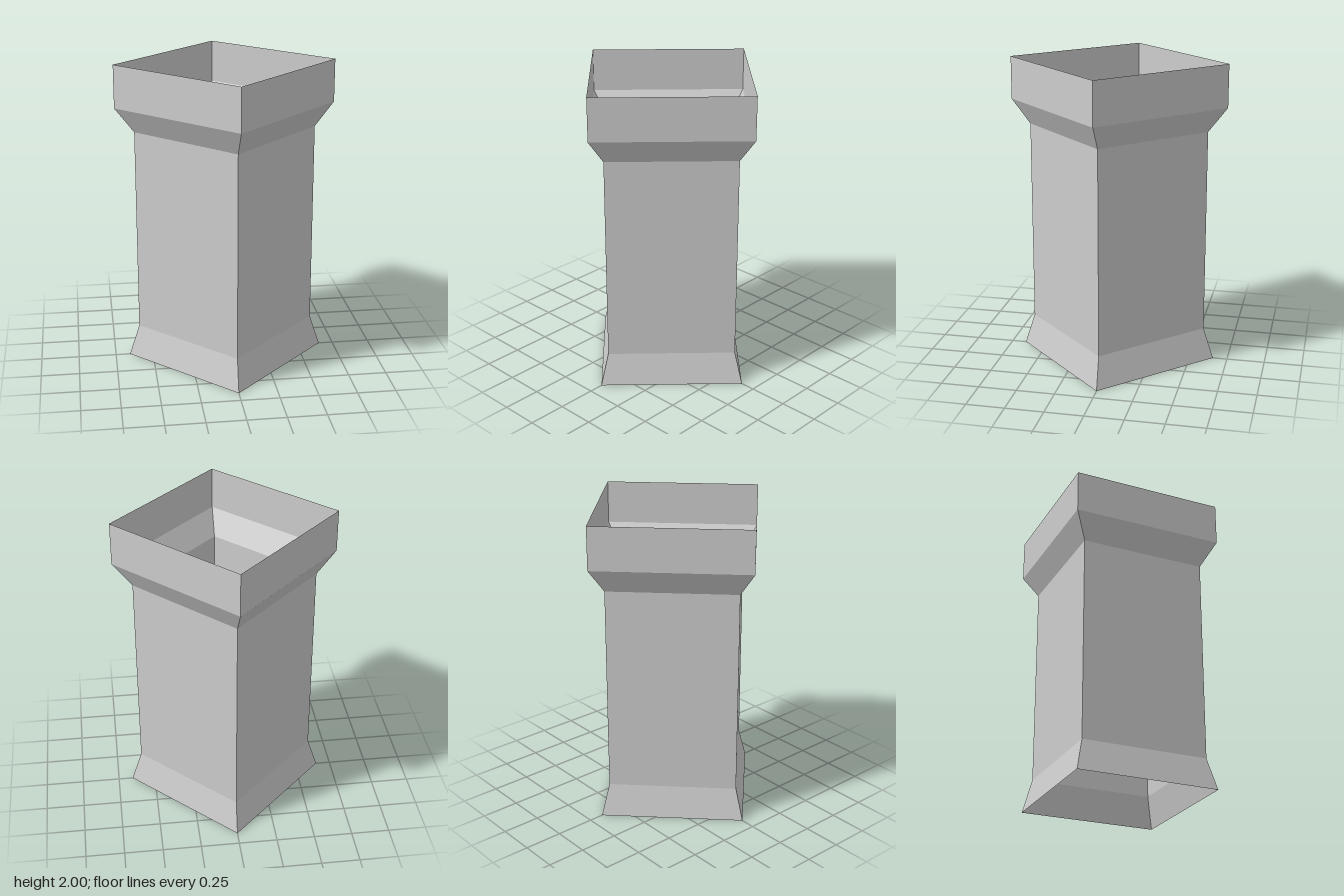
import * as THREE from 'three';

export function createModel() {
  const group = new THREE.Group();
  group.name = 'squarePillar';

  const stone = new THREE.MeshStandardMaterial({ color: 0xcccccc, flatShading: true, side: THREE.DoubleSide });
  stone.name = 'paleGreyStone';

  // Open four-sided bands with corners on the axes: name, bottom radius, bottom y, top radius, top y
  const bands = [
    ['flaredBase', 0.655, 0, 0.587, 0.21],
    ['shaft', 0.587, 0.21, 0.587, 1.56],
    ['capitalFlare', 0.587, 1.56, 0.71, 1.72],
    ['capitalRim', 0.71, 1.72, 0.71, 2],
  ];
  for (const [name, r0, y0, r1, y1] of bands) {
    const profile = [new THREE.Vector2(r0, y0), new THREE.Vector2(r1, y1)];
    const mesh = new THREE.Mesh(new THREE.LatheGeometry(profile, 4), stone);
    mesh.name = name;
    group.add(mesh);
  }
  return group;
}
